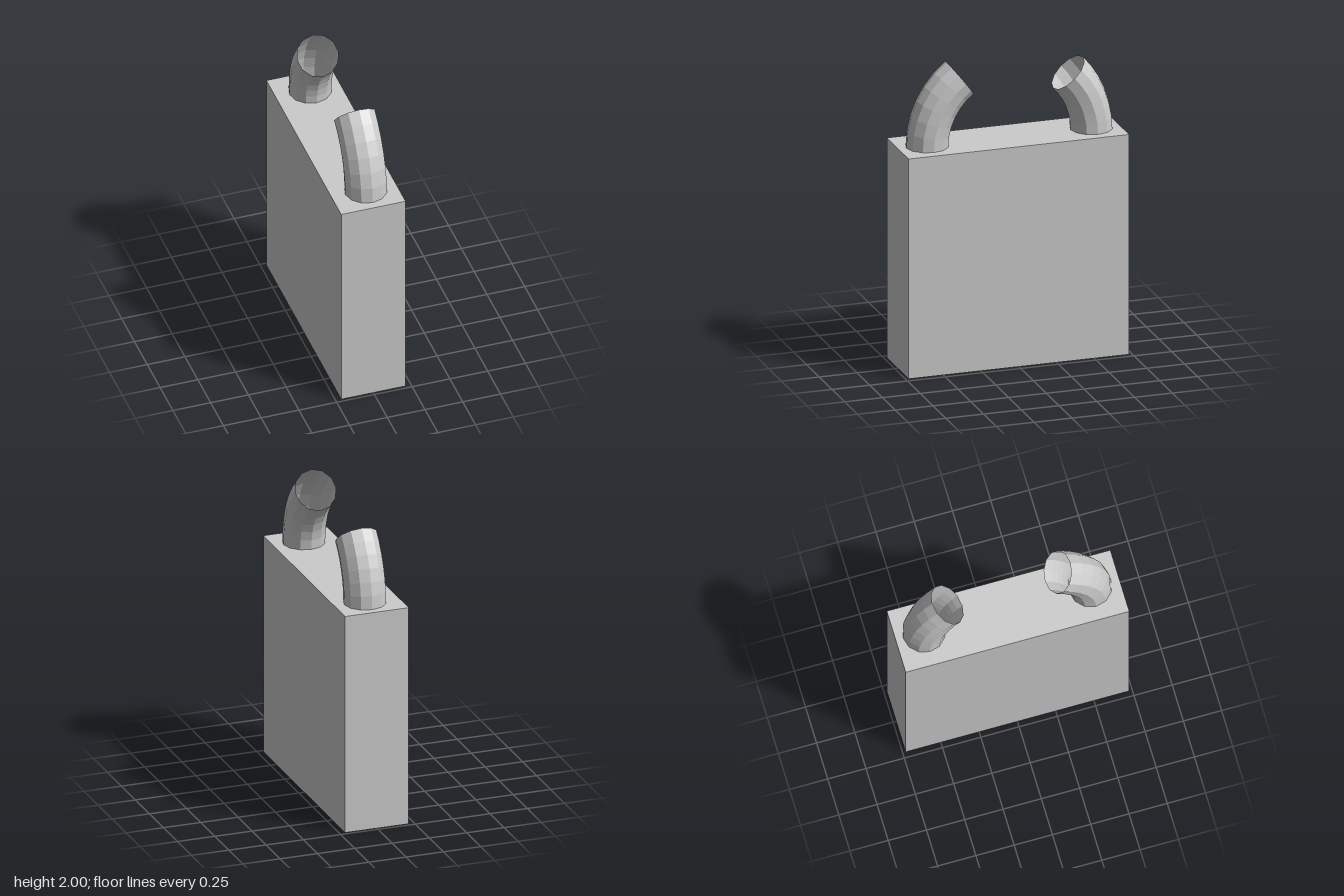
import * as THREE from 'three';

const grey = new THREE.MeshStandardMaterial({ color: 0xcccccc, flatShading: true });
const thinGrey = new THREE.MeshStandardMaterial({ color: 0xcccccc, flatShading: true, side: THREE.DoubleSide });

const BODY = { width: 0.426, height: 1.46, depth: 1.46 };
const PIPE_RADIUS = 0.136;

// Open pipe rising from the body top and curving toward the middle; side is +1 (front) or -1 (back)
function bentPipe(name, side, baseZ, bendRadius, degrees) {
  const geometry = new THREE.TorusGeometry(bendRadius, PIPE_RADIUS, 12, 6, THREE.MathUtils.degToRad(degrees));
  geometry.rotateY(-side * Math.PI / 2);
  const pipe = new THREE.Mesh(geometry, thinGrey);
  pipe.name = name;
  pipe.position.set(0.013, BODY.height, side * (baseZ - bendRadius));
  return pipe;
}

export function createModel() {
  const model = new THREE.Group();
  model.name = 'tankWithPipes';

  // Upright box body
  const body = new THREE.Mesh(new THREE.BoxGeometry(BODY.width, BODY.height, BODY.depth), grey);
  body.name = 'body';
  body.position.y = BODY.height / 2;
  model.add(body);

  // Two hollow pipes, the front one longer
  model.add(bentPipe('frontPipe', 1, 0.541, 0.542, 52.7));
  model.add(bentPipe('backPipe', -1, 0.546, 0.56, 43.5));

  return model;
}
